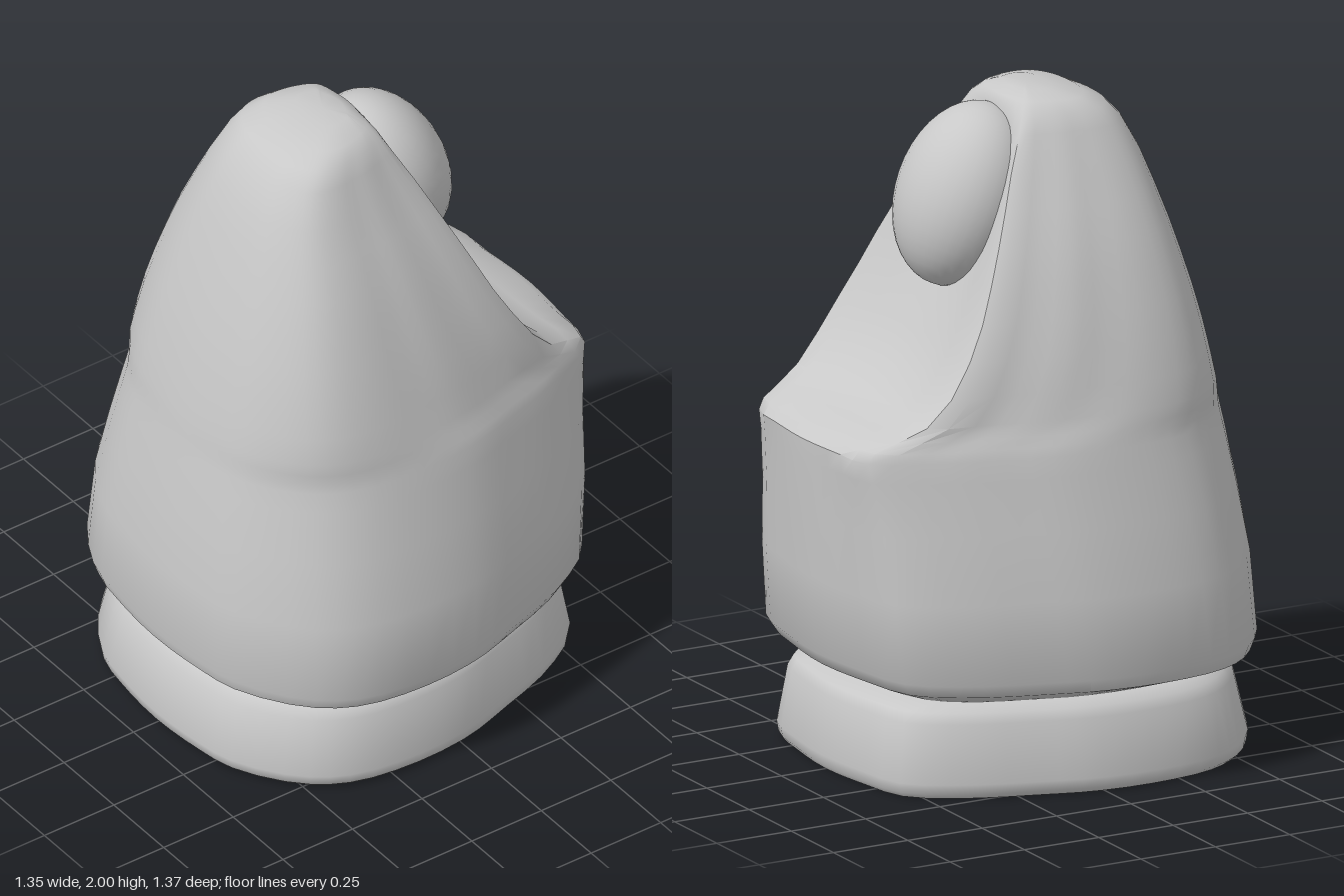
import * as THREE from 'three';
import { toCreasedNormals } from 'three/addons/utils/BufferGeometryUtils.js';

const SEGMENTS = 56;

// One closed outline: w half width, zf front, zb back, c back corner (share of w),
// cut how far the back corner is set forward, dent how far the back middle is hollowed
function outline([y, w, zf, zb, c, cut, dent]) {
  const z = (f) => zb + f * (zf - zb);
  const half = [
    [0.28 * w, z(0.99)], [0.53 * w, z(0.965)], [0.82 * w, z(0.87)], [0.95 * w, z(0.77)],
    [w, z(0.62)], [0.98 * w, z(0.46)],
    [(0.72 + 0.3 * c) * w, z(0.33)], [(0.48 + 0.5 * c) * w, z(0.17)],
    [c * w, zb + cut], [0.5 * c * w, zb + cut * 0.3 + dent * 0.6],
  ];
  const pts = [[0, zf], ...half, [0, zb + dent], ...half.slice().reverse().map(([x, d]) => [-x, d])];
  const curve = new THREE.CatmullRomCurve3(pts.map(([x, d]) => new THREE.Vector3(x, y, d)), true);
  return Array.from({ length: SEGMENTS }, (_, i) => curve.getPoint(i / SEGMENTS));
}

// Skin a stack of outlines and close both ends
function loft(levels) {
  const rings = levels.map(outline);
  const pos = [], index = [], n = SEGMENTS;
  rings.forEach((r) => r.forEach((p) => pos.push(p.x, p.y, p.z)));
  for (let i = 0; i < rings.length - 1; i++) {
    for (let j = 0; j < n; j++) {
      const a = i * n + j, b = i * n + ((j + 1) % n);
      index.push(a, b, b + n, a, b + n, a + n);
    }
  }
  const addCap = (row, top) => {
    const [y, , zf, zb] = levels[row];
    const centre = pos.length / 3;
    pos.push(0, y, (zf + zb) / 2);
    for (let j = 0; j < n; j++) {
      const a = row * n + j, b = row * n + ((j + 1) % n);
      index.push(centre, top ? a : b, top ? b : a);
    }
  };
  addCap(0, false);
  addCap(rings.length - 1, true);
  const geo = new THREE.BufferGeometry();
  geo.setAttribute('position', new THREE.Float32BufferAttribute(pos, 3));
  geo.setIndex(index);
  return toCreasedNormals(geo, 0.75);
}

export function createModel() {
  const group = new THREE.Group();
  const grey = new THREE.MeshStandardMaterial({ color: 0xc8c8c8 });
  grey.name = 'light grey';
  const add = (name, geo) => {
    const mesh = new THREE.Mesh(geo, grey);
    mesh.name = name;
    group.add(mesh);
    return mesh;
  };

  // Flared foot
  add('base', loft([
    [0, 0.6, 0.655, -0.6, 0.6, 0.06, 0],
    [0.015, 0.615, 0.67, -0.61, 0.6, 0.06, 0],
    [0.045, 0.618, 0.675, -0.615, 0.6, 0.06, 0],
    [0.22, 0.583, 0.635, -0.59, 0.6, 0.06, 0],
    [0.25, 0.568, 0.61, -0.575, 0.6, 0.06, 0],
    [0.27, 0.53, 0.57, -0.53, 0.6, 0.06, 0],
  ]));

  // Tapering body, scooped out at the upper back
  add('body', loft([
    [0.27, 0.52, 0.54, -0.51, 0.62, 0.07, 0],
    [0.32, 0.655, 0.675, -0.61, 0.62, 0.07, 0],
    [0.36, 0.673, 0.688, -0.635, 0.62, 0.07, 0],
    [0.6, 0.645, 0.675, -0.658, 0.62, 0.07, 0],
    [0.8, 0.6, 0.645, -0.665, 0.61, 0.06, 0],
    [0.96, 0.562, 0.617, -0.677, 0.6, 0.05, 0],
    [1.02, 0.548, 0.605, -0.678, 0.6, 0.04, 0],
    [1.05, 0.54, 0.6, -0.65, 0.62, 0.03, 0.01],
    [1.08, 0.533, 0.595, -0.565, 0.67, 0.01, 0.02],
    [1.12, 0.524, 0.588, -0.475, 0.74, 0, 0.03],
    [1.2, 0.503, 0.57, -0.4, 0.8, 0, 0.04],
    [1.3, 0.475, 0.547, -0.335, 0.83, 0, 0.04],
    [1.4, 0.443, 0.52, -0.28, 0.84, 0, 0.04],
    [1.5, 0.408, 0.49, -0.235, 0.84, 0, 0.05],
    [1.6, 0.37, 0.458, -0.19, 0.83, 0, 0.05],
    [1.7, 0.325, 0.423, -0.145, 0.82, 0, 0.05],
    [1.8, 0.278, 0.385, -0.1, 0.8, 0, 0.04],
    [1.9, 0.232, 0.332, -0.06, 0.78, 0.01, 0.02],
    [1.95, 0.205, 0.285, -0.045, 0.75, 0.02, 0],
    [1.98, 0.165, 0.22, -0.025, 0.7, 0.02, 0],
    [2, 0.09, 0.13, 0.01, 0.7, 0.02, 0],
  ]));

  // Smooth oval knob set into the scoop
  const knob = add('knob', new THREE.SphereGeometry(1, 32, 20));
  knob.scale.set(0.215, 0.28, 0.19);
  knob.rotation.x = 0.38;
  knob.position.set(0, 1.69, -0.14);

  return group;
}
